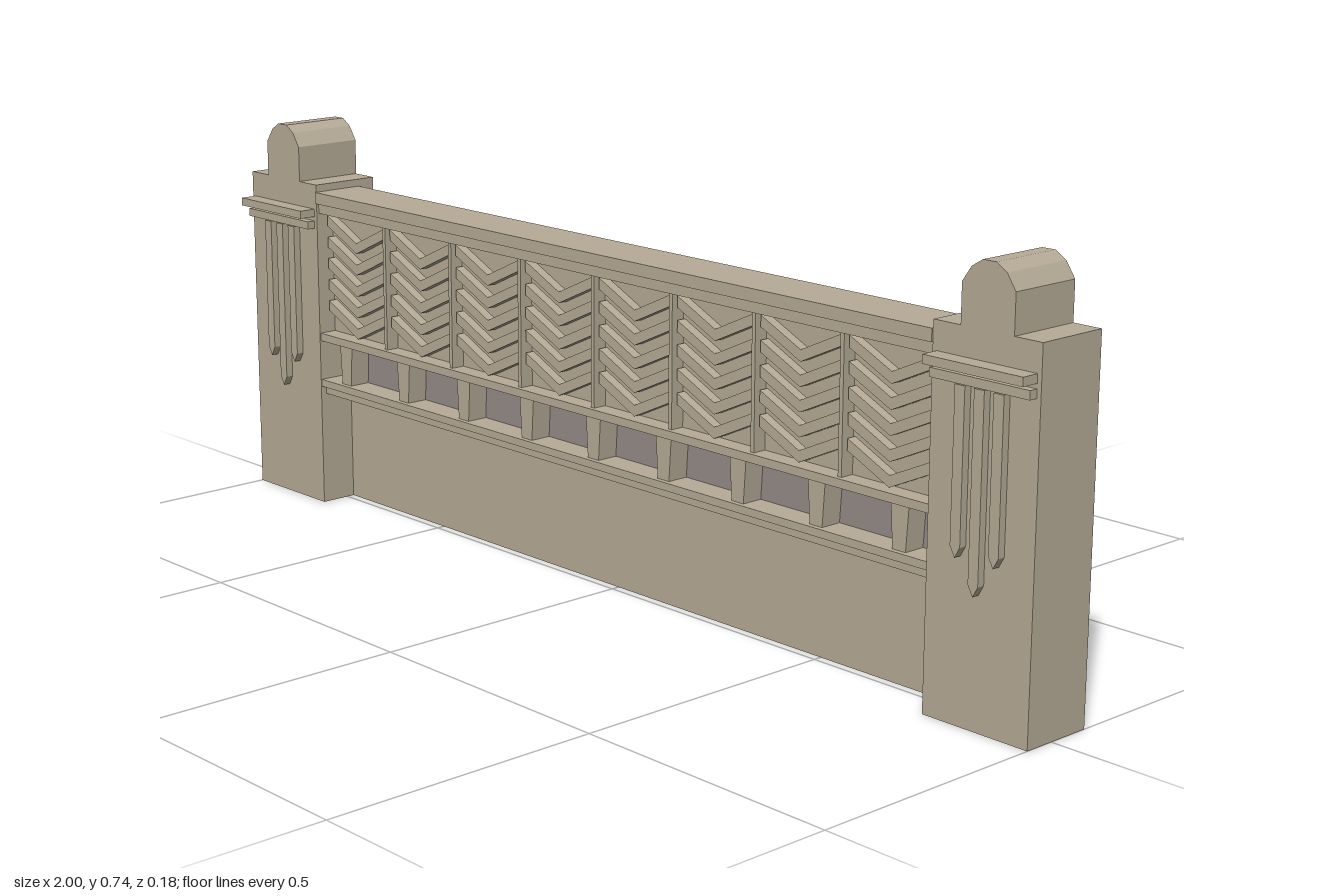
import * as THREE from 'three';

export function createModel() {
  const model = new THREE.Group();
  model.name = 'parapetWall';
  const stone = new THREE.MeshStandardMaterial({ color: 0xb5aa96, flatShading: true });
  stone.name = 'stone';
  const recess = new THREE.MeshStandardMaterial({ color: 0x948b86, flatShading: true });
  recess.name = 'recess grey';

  // Box given by its limits on each axis
  function box(name, x0, x1, y0, y1, z0, z1, parent = model, material = stone) {
    const mesh = new THREE.Mesh(new THREE.BoxGeometry(x1 - x0, y1 - y0, z1 - z0), material);
    mesh.position.set((x0 + x1) / 2, (y0 + y1) / 2, (z0 + z1) / 2);
    mesh.name = name;
    parent.add(mesh);
    return mesh;
  }

  // Outline in x and y, extruded from z0 to z1
  function plate(name, points, z0, z1, parent = model) {
    const shape = new THREE.Shape(points.map(([x, y]) => new THREE.Vector2(x, y)));
    const geometry = new THREE.ExtrudeGeometry(shape, { depth: z1 - z0, bevelEnabled: false });
    geometry.translate(0, 0, z0);
    const mesh = new THREE.Mesh(geometry, stone);
    mesh.name = name;
    parent.add(mesh);
    return mesh;
  }

  const half = 0.788;

  // Wall body, stepping back towards the top at the rear
  box('backSlab', -0.992, 0.992, 0, 0.492, -0.09, -0.08);
  box('lowerWall', -half, half, 0, 0.235, -0.08, -0.015);
  box('slabShelf', -half, half, 0.235, 0.492, -0.08, -0.06);
  box('middleWall', -half, half, 0.235, 0.555, -0.06, 0);
  box('upperWall', -half, half, 0.555, 0.6, -0.045, 0);
  box('chevronBacking', -half, half, 0.34, 0.58, 0, 0.02);
  box('nichePanel', -half, half, 0.25, 0.33, 0, 0.004, model, recess);

  // Horizontal mouldings
  box('coping', -half, half, 0.6, 0.622, -0.045, 0.06);
  box('copingBand', -half, half, 0.58, 0.6, -0.015, 0.052);
  box('upperRail', -half, half, 0.328, 0.343, 0, 0.055);
  box('lowerRail', -half, half, 0.236, 0.25, -0.015, 0.055);
  box('lowerRailStep', -half, half, 0.22, 0.236, -0.015, 0.045);

  // Small tapered corbels between the niches
  for (let i = 0; i < 9; i++) {
    const x = -0.72 + i * 0.18;
    plate('corbel', [[x - 0.014, 0.25], [x + 0.014, 0.25], [x + 0.019, 0.328], [x - 0.019, 0.328]], 0, 0.045);
  }

  // Eight chevron panels separated by thin strips
  const panelWidth = 2 * half / 8;
  for (let p = 0; p < 8; p++) {
    const x = -half + (p + 0.5) * panelWidth;
    const w = panelWidth / 2 - 0.008;
    for (let k = 0; k < 5; k++) {
      const y = 0.535 - k * 0.042;
      plate('chevron', [
        [x - w, y + 0.04], [x - w, y + 0.02], [x, y - 0.022], [x + w, y + 0.02],
        [x + w, y + 0.04], [x, y - 0.002],
      ], 0.02, 0.038);
    }
    if (p > 0) {
      const d = x - panelWidth / 2;
      box('panelDivider', d - 0.004, d + 0.004, 0.343, 0.58, 0.02, 0.046);
    }
  }

  // End posts with arched finials, ledges and hanging darts
  for (const side of [-1, 1]) {
    const post = new THREE.Group();
    post.name = side > 0 ? 'leftPost' : 'rightPost';
    post.position.x = side * 0.894;
    model.add(post);
    box('postShaft', -0.106, 0.106, 0, 0.636, -0.08, 0.057, post);
    plate('finial', [
      [-0.052, 0.636], [0.052, 0.636], [0.052, 0.703], [0.034, 0.729], [0.013, 0.742],
      [-0.013, 0.742], [-0.034, 0.729], [-0.052, 0.703],
    ], -0.08, 0.057, post);
    box('upperLedge', -0.098, 0.098, 0.573, 0.588, 0.057, 0.09, post);
    box('lowerLedge', -0.098, 0.098, 0.55, 0.565, 0.057, 0.073, post);
    for (const i of [-1, 0, 1]) {
      const x = i * 0.038;
      const tip = i === 0 ? 0.222 : 0.276;
      plate('hangingDart', [
        [x, tip], [x + 0.01, tip + 0.018], [x + 0.01, 0.548], [x - 0.01, 0.548], [x - 0.01, tip + 0.018],
      ], 0.057, 0.071, post);
    }
  }

  return model;
}
